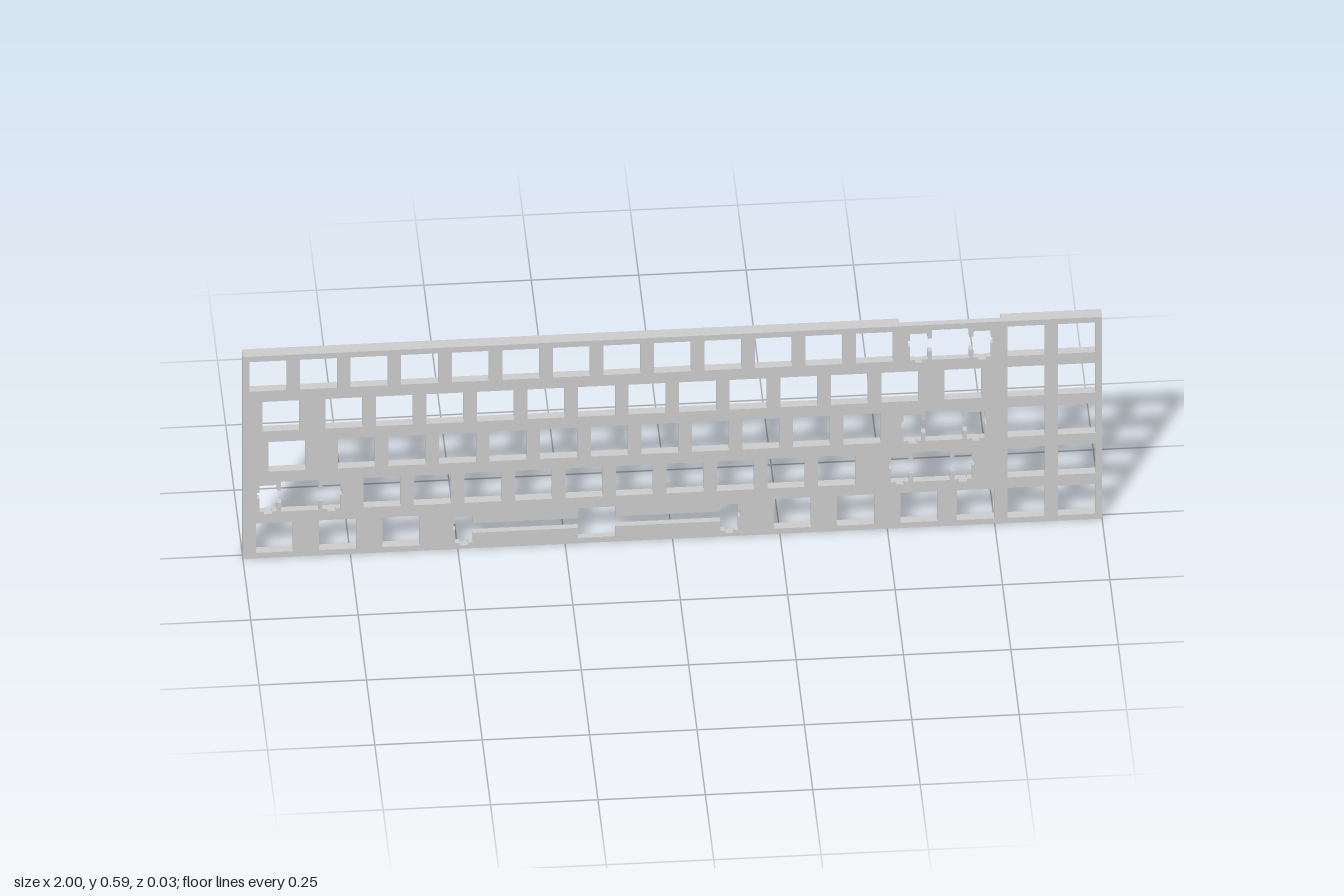
import * as THREE from 'three';

const U = 2 / 17;          // one key unit
const MM = 1 / 19.05;      // millimetres in key units
const HALF = 0.015;        // thickness of each layer
const HOLE = 14 * MM;      // switch opening
const POCKET = 16 * MM;    // wider opening in the back layer

const run = (start, count) => Array.from({ length: count }, (_, i) => start + i);

// Key centres per row, bottom row first, in key units from the left edge
const rows = [
  { keys: [0.625, 1.875, 3.125, 10.875, 12.125, 13.375, 14.5, 15.5, 16.5], wide: [] },
  { keys: [...run(2.75, 10), 15.5, 16.5], wide: [1.125, 13.625] },
  { keys: [0.875, ...run(2.25, 11), 15.5, 16.5], wide: [13.875] },
  { keys: [0.75, ...run(2, 12), 14.25, 15.5, 16.5], wide: [] },
  { keys: [...run(0.5, 13), 15.5, 16.5], wide: [14] },
];
const SPACE_X = 7;

// Key units to model space
const place = ([x, y]) => new THREE.Vector2((x - 8.5) * U, y * U);
const path = (points, Type = THREE.Path) => new Type(points.map(place));

function rect(cx, cy, w, h = w) {
  const a = w / 2, b = h / 2;
  return path([[cx - a, cy - b], [cx + a, cy - b], [cx + a, cy + b], [cx - a, cy + b]]);
}

// Switch opening joined by a channel to a stabiliser slot on each side
function stabiliser(cx, cy, s, channel) {
  const l = s - 3.33, r = s + 3.33;
  const right = [
    [7, 7], [7, channel], [l, channel], [l, 5.53], [r, 5.53], [r, 2.3], [r + 0.8, 2.3],
    [r + 0.8, -0.5], [r, -0.5], [r, -6.77], [s + 1.52, -6.77], [s + 1.52, -7.97],
    [s - 1.52, -7.97], [s - 1.52, -6.77], [l, -6.77], [l, -channel], [7, -channel], [7, -7],
  ];
  const left = right.map(([x, y]) => [-x, y]).reverse();
  return path([...right, ...left].map(([x, y]) => [cx + x * MM, cy + y * MM]));
}

function layer(name, shape, z) {
  const geometry = new THREE.ExtrudeGeometry(shape, { depth: HALF, bevelEnabled: false });
  const material = new THREE.MeshStandardMaterial({ color: 0xcccccc });
  const mesh = new THREE.Mesh(geometry, material);
  mesh.name = name;
  mesh.position.z = z;
  return mesh;
}

export function createModel() {
  const group = new THREE.Group();
  group.name = 'keyboardPlate';

  // Front layer is a full rectangle; back layer is notched behind two wide keys
  const front = path([[0, 0], [17, 0], [17, 5], [0, 5]], THREE.Shape);
  const s0 = SPACE_X - 3.03, s1 = SPACE_X + 3.03;
  const back = path([
    [0, 0], [s0, 0], [s0, 0.97], [s1, 0.97], [s1, 0], [17, 0],
    [17, 5], [15, 5], [15, 4.03], [13, 4.03], [13, 5], [0, 5],
  ], THREE.Shape);

  rows.forEach(({ keys, wide }, row) => {
    const y = row + 0.5;
    for (const x of keys) {
      front.holes.push(rect(x, y, HOLE));
      back.holes.push(rect(x, y, POCKET));
    }
    for (const x of wide) {
      front.holes.push(stabiliser(x, y, 11.94, 3));
      if (row < 4) back.holes.push(rect(x, y, 1.8, 0.9));
    }
  });
  front.holes.push(stabiliser(SPACE_X, 0.5, 50, 2.3));

  group.add(layer('switchPlate', front, 0), layer('backFrame', back, -HALF));
  return group;
}
